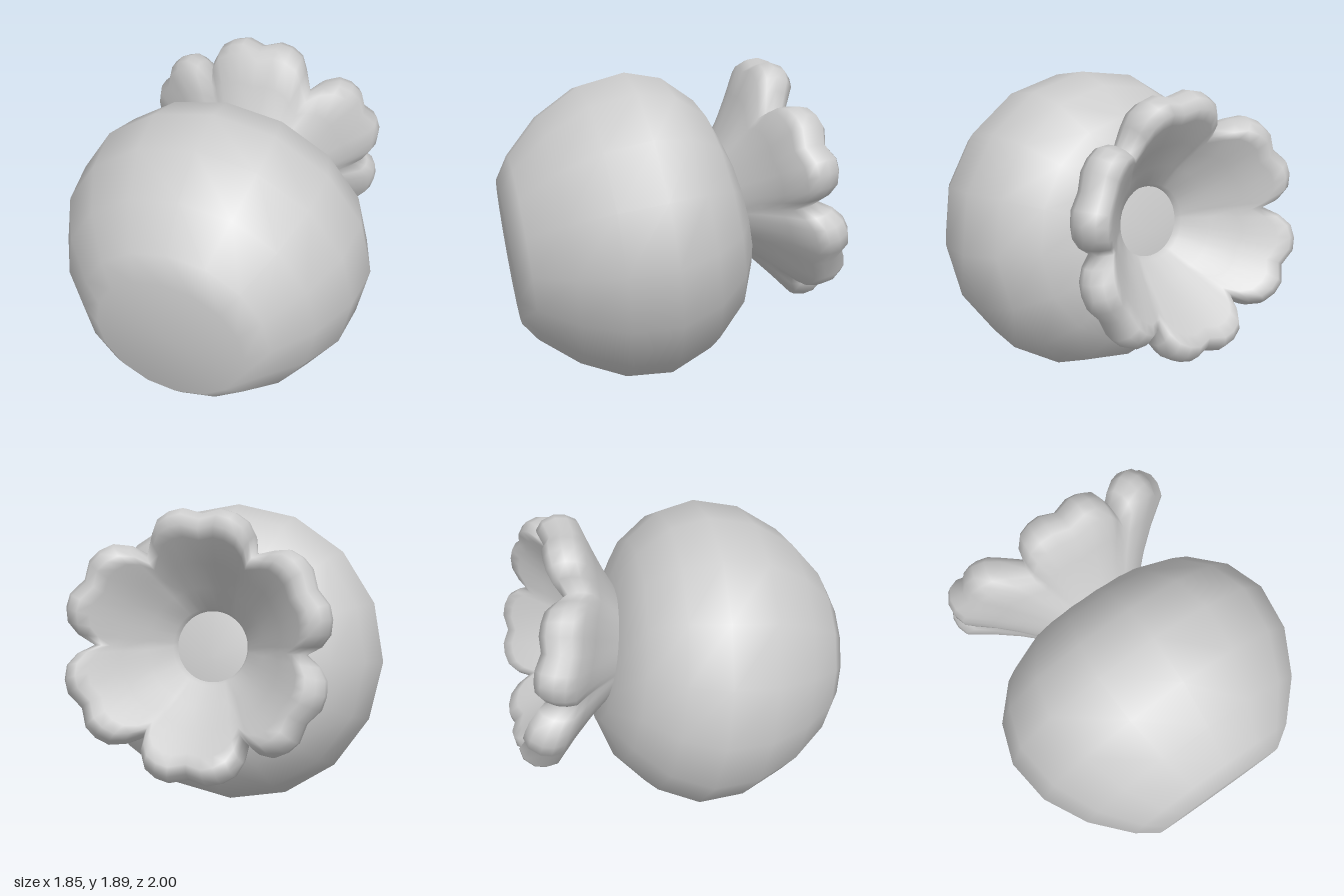
import * as THREE from 'three';

const TAU = Math.PI * 2;

// Skins a list of closed rings (each an array of Vector3, all the same length)
function loft(rings, name) {
  const n = rings[0].length;
  const index = [];
  for (let i = 0; i < rings.length - 1; i++) {
    for (let j = 0; j < n; j++) {
      const k = (j + 1) % n;
      const a = i * n + j, b = i * n + k, c = a + n, d = b + n;
      index.push(a, b, c, b, d, c);
    }
  }
  const geometry = new THREE.BufferGeometry().setFromPoints(rings.flat());
  geometry.setIndex(index);
  geometry.computeVertexNormals();
  const mesh = new THREE.Mesh(geometry, new THREE.MeshStandardMaterial({ color: 0xcccccc }));
  mesh.name = name;
  return mesh;
}

// Round body: every ring is given by its top and bottom point [z, y, z, y], front to back
function makeBody() {
  const sections = [
    [1.0, 1.23, 0.9, 0.36],
    [0.93, 1.375, 0.81, 0.26],
    [0.75, 1.6, 0.57, 0.1],
    [0.51, 1.77, 0.3, 0.0],
    [0.24, 1.84, 0.02, 0.0],
    [0.02, 1.8, -0.23, 0.13],
    [-0.18, 1.66, -0.41, 0.34],
    [-0.32, 1.43, -0.5, 0.6],
  ];
  const ring = ([zt, yt, zb, yb], scale = 1) => {
    const centre = new THREE.Vector3(0, (yt + yb) / 2, (zt + zb) / 2);
    const up = new THREE.Vector3(0, (yt - yb) / 2, (zt - zb) / 2);
    const radius = up.length();
    return Array.from({ length: 16 }, (_, j) => {
      const a = (j / 16) * TAU;
      return centre.clone().addScaledVector(up, Math.cos(a) * scale)
        .add(new THREE.Vector3(Math.sin(a) * radius * scale, 0, 0));
    });
  };
  // Flat caps close the front and the back
  const rings = [ring(sections[0], 0), ...sections.map((s) => ring(s)), ring(sections[7], 0)];
  return loft(rings, 'body');
}

// Six-petalled trumpet on the back, with a thick wall and an open throat
function makeFlower() {
  const origin = new THREE.Vector3(0, 1.08, -0.396);
  const axis = new THREE.Vector3(0, 0.212, -0.977);
  const up = new THREE.Vector3(0, 0.977, 0.212);

  // Wall section [radius, height, petal influence]: outside, over the lip, down the inside
  const wall = [
    [0.36, -0.01, 0],
    [0.46, 0.07, 0.4],
    [0.59, 0.16, 0.8],
    [0.735, 0.255, 1],
    [0.755, 0.32, 1],
    [0.75, 0.385, 1],
    [0.71, 0.45, 1],
    [0.65, 0.475, 1],
    [0.59, 0.43, 1],
    [0.46, 0.29, 0.8],
    [0.33, 0.15, 0.4],
    [0.22, 0.04, 0],
    [0.2, -0.01, 0],
  ];
  // One petal across: [angle in degrees, length], with two bumps on the edge
  const petal = [
    [-29, 0.64], [-25, 0.82], [-20, 0.94], [-14, 0.99], [-8, 1],
    [0, 0.93], [8, 1], [14, 0.99], [20, 0.94], [25, 0.82],
  ];
  // Petal directions, clockwise from the top; the side petals hang a little
  const directions = [0, 62, 121, 180, 239, 298];

  const rings = wall.map(([r, t, w]) => {
    const ring = [];
    for (const direction of directions) {
      for (const [deg, length] of petal) {
        const a = THREE.MathUtils.degToRad(direction + deg);
        const cut = w * (1 - length);
        const radius = 0.3 + (r - 0.3) * (1 - cut);
        // The rim reaches further back at the sides than at top and bottom
        const height = t * (1 - 0.8 * cut) + 0.045 * w * Math.sin(a) ** 2;
        ring.push(origin.clone()
          .addScaledVector(axis, height)
          .addScaledVector(up, Math.cos(a) * radius)
          .add(new THREE.Vector3(Math.sin(a) * radius * 1.01, 0, 0)));
      }
    }
    return ring;
  });
  return loft(rings, 'flower');
}

export function createModel() {
  const group = new THREE.Group();
  group.name = 'flowerBall';
  group.add(makeBody(), makeFlower());
  return group;
}
